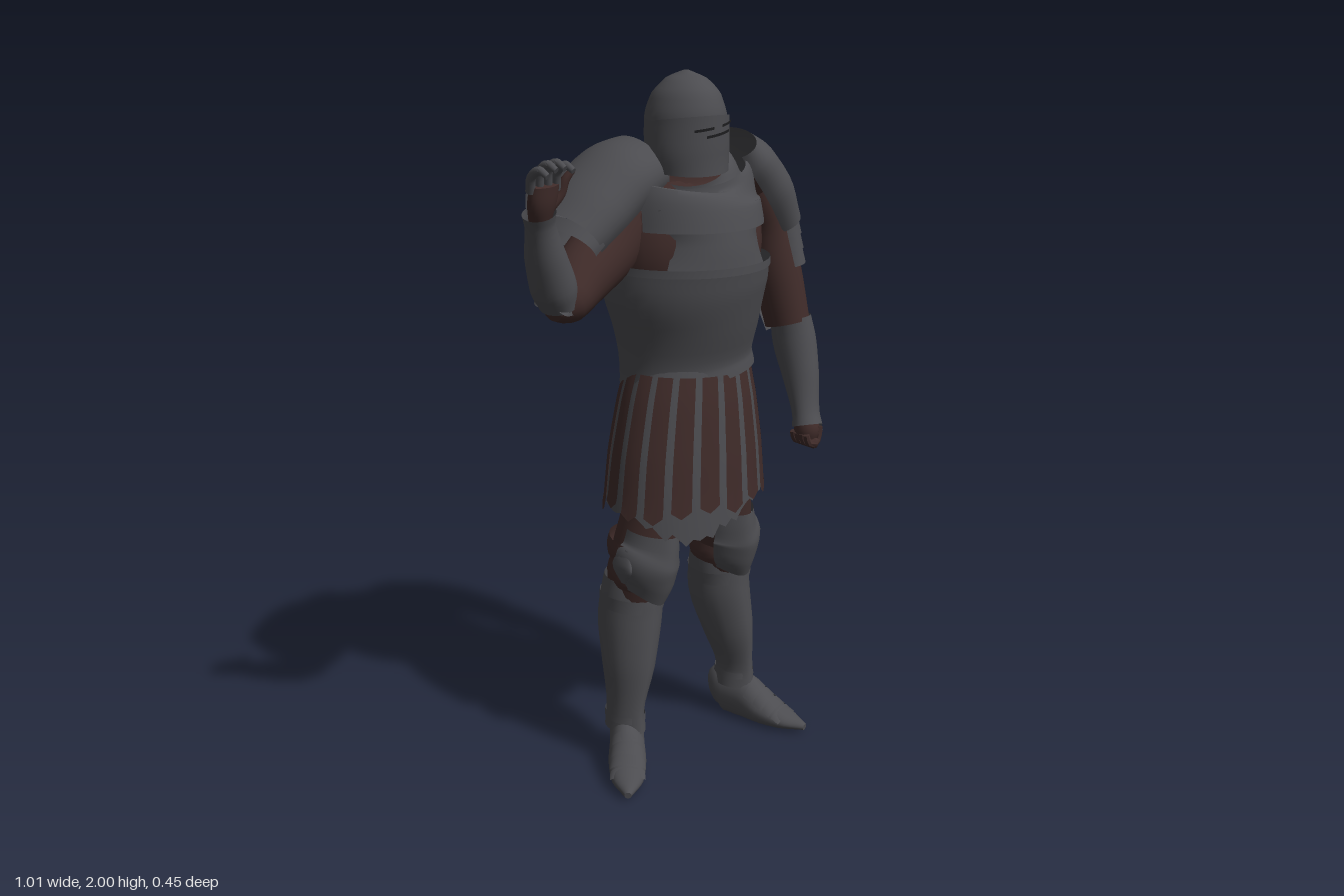
import * as THREE from 'three';
import { toCreasedNormals } from 'three/addons/utils/BufferGeometryUtils.js';

const mat = (name, color) => {
  const m = new THREE.MeshStandardMaterial({ color, side: THREE.DoubleSide });
  m.name = name;
  return m;
};
const X = new THREE.Vector3(1, 0, 0), Z = new THREE.Vector3(0, 0, 1);
const rad = THREE.MathUtils.degToRad;

// Lofts a smooth skin over sections [x, y, z, radius along ref, other radius].
// With ref X and sections going up, angle 0 is +x and 90 is the front.
function loft(sections, { ref = X, arc = [0, 360], segs = 24, sub = 4, cap = false, tweak } = {}) {
  const centres = new THREE.CatmullRomCurve3(sections.map(s => new THREE.Vector3(s[0], s[1], s[2])));
  const radii = new THREE.CatmullRomCurve3(sections.map(s => new THREE.Vector3(s[3], s[4], 0)));
  const n = (sections.length - 1) * sub, rings = [];
  for (let i = 0; i <= n; i++) rings.push([i / n, 1]);
  if (cap) { rings.unshift([0, 0]); rings.push([1, 0]); }
  const pos = [], idx = [], w = segs + 1;
  rings.forEach(([t, k], i) => {
    const c = centres.getPoint(t), r = radii.getPoint(t), d = centres.getTangent(t);
    const u = ref.clone().addScaledVector(d, -ref.dot(d)).normalize();
    const v = u.clone().cross(d);
    for (let j = 0; j <= segs; j++) {
      const a = rad(arc[0] + (arc[1] - arc[0]) * j / segs);
      const p = c.clone().addScaledVector(u, Math.cos(a) * r.x * k).addScaledVector(v, Math.sin(a) * r.y * k);
      if (tweak) tweak(p, t, a);
      pos.push(p.x, p.y, p.z);
      if (i && j) {
        const b = i * w + j, q = b - w;
        idx.push(q - 1, b - 1, q, q, b - 1, b);
      }
    }
  });
  const g = new THREE.BufferGeometry();
  g.setAttribute('position', new THREE.Float32BufferAttribute(pos, 3));
  g.setIndex(idx);
  g.scale(100, 100, 100);
  return toCreasedNormals(g, 0.75).scale(0.01, 0.01, 0.01);
}

export function createModel() {
  const model = new THREE.Group();
  const steel = mat('steel', 0x4c4c50), leather = mat('leather', 0x3f2b29), dark = mat('slit', 0x1c1c1e);
  const add = (name, material, sections, opts) => {
    const m = new THREE.Mesh(loft(sections, opts), material);
    m.name = name;
    model.add(m);
    return m;
  };
  // The chest is turned a little, its right shoulder back
  const twist = p => { p.z += 0.11 * (p.x - 0.12); };

  // Helmet, visor and eye slits
  add('helmet', steel, [
    [0.085, 1.745, 0.025, 0.103, 0.108], [0.083, 1.81, 0.018, 0.108, 0.115], [0.085, 1.88, 0.016, 0.105, 0.118],
    [0.088, 1.94, 0.014, 0.086, 0.1], [0.09, 1.98, 0.012, 0.05, 0.06], [0.09, 2.0, 0.012, 0.006, 0.008]],
  { cap: true, segs: 32 });
  add('visor', steel, [
    [0.085, 1.745, 0.03, 0.108, 0.108], [0.083, 1.8, 0.022, 0.114, 0.118], [0.085, 1.875, 0.018, 0.109, 0.123]],
  { arc: [-12, 192], tweak: (p, t, a) => { p.y -= 0.025 * (1 - t) * Math.max(0, Math.sin(a)); p.y += 0.012 * t * Math.sin(a); } });
  for (const [lo, arc] of [[1.86, [50, 83]], [1.86, [97, 125]], [1.84, [65, 108]]])
    add('eyeSlit', dark, [[0.085, lo, 0.021, 0.112, 0.125], [0.085, lo + 0.007, 0.021, 0.112, 0.125]],
      { arc, segs: 8, sub: 1, tweak: p => { p.y += 0.14 * (p.x - 0.085); } });

  // Mail under the armour
  add('neck', leather, [[0.1, 1.62, -0.03, 0.17, 0.14], [0.105, 1.71, -0.03, 0.15, 0.125], [0.1, 1.775, -0.015, 0.1, 0.095]]);
  add('mailShirt', leather, [
    [0.1, 1.42, 0, 0.2, 0.15], [0.1, 1.52, 0, 0.225, 0.165], [0.1, 1.62, -0.015, 0.23, 0.15], [0.1, 1.7, -0.03, 0.18, 0.11]],
  { cap: true, tweak: twist });

  // Cuirass: lower plate, narrow chest plate, bib and back plate
  add('lowerCuirass', steel, [
    [0.12, 1.165, -0.01, 0.2, 0.148], [0.115, 1.21, -0.01, 0.195, 0.145], [0.108, 1.33, -0.002, 0.21, 0.175],
    [0.098, 1.43, 0.004, 0.228, 0.2], [0.097, 1.495, 0.006, 0.226, 0.21]], { segs: 36, tweak: twist });
  add('lowerCuirassRim', steel, [[0.097, 1.478, 0.006, 0.23, 0.212], [0.097, 1.5, 0.006, 0.229, 0.212]], { segs: 36, sub: 1, tweak: twist });
  add('chestPlate', steel, [
    [0.1, 1.47, 0.005, 0.21, 0.198], [0.1, 1.53, 0.004, 0.205, 0.194], [0.1, 1.6, 0, 0.215, 0.185], [0.1, 1.64, -0.005, 0.215, 0.18]],
  { arc: [38, 142], tweak: (p, t, a) => { twist(p); p.x += 0.035 * Math.cos(a) * (2 * Math.abs(t - 0.5) - 1); } });
  add('bib', steel, [
    [0.1, 1.595, 0, 0.21, 0.2], [0.1, 1.67, -0.005, 0.205, 0.185], [0.105, 1.72, -0.005, 0.19, 0.155], [0.1, 1.75, 0, 0.165, 0.14]],
  { arc: [22, 158], tweak: (p, t, a) => { twist(p); p.y -= 0.015 * Math.sin(a); } });
  add('gorget', steel, [[0.105, 1.7, 0.0, 0.175, 0.15], [0.1, 1.735, 0.01, 0.14, 0.125], [0.09, 1.76, 0.02, 0.105, 0.108]],
    { arc: [0, 180] });
  add('backPlate', steel, [
    [0.1, 1.48, 0.003, 0.228, 0.21], [0.1, 1.58, -0.015, 0.22, 0.2], [0.1, 1.68, -0.025, 0.215, 0.19],
    [0.105, 1.74, -0.03, 0.2, 0.17], [0.105, 1.785, -0.035, 0.175, 0.14]], { arc: [186, 356], tweak: twist });
  for (const a of [[-15, 27], [153, 195]])
    add('shoulderStrap', steel, [[0.1, 1.63, -0.015, 0.215, 0.18], [0.105, 1.7, -0.02, 0.205, 0.165], [0.105, 1.76, -0.02, 0.175, 0.145]],
      { arc: a, segs: 8, tweak: twist });

  // Skirt: ragged grey cloth below leather straps
  const rag = k => Math.abs((Math.sin(k * 12.9898) * 43758.5453) % 1);
  add('clothSkirt', steel, [
    [0.112, 0.81, -0.01, 0.255, 0.176], [0.115, 0.95, -0.01, 0.24, 0.168], [0.12, 1.1, -0.01, 0.212, 0.153], [0.122, 1.205, -0.01, 0.185, 0.138]],
  { segs: 72, tweak: (p, t, a) => {
    if (t > 0.05) return;
    const low = Math.max(0, Math.cos(a - rad(112))) ** 5 + Math.max(0, Math.cos(a - rad(265))) ** 5;
    p.y -= (0.015 + 0.085 * low) * (0.4 + 0.8 * rag(Math.round(a * 72 / 6.2832) % 72));
  } });
  const straps = 18;
  for (let k = 0; k < straps; k++) {
    const a = k * 360 / straps + 4, end = 0.775 + 0.035 * rag(k + 3);
    add('skirtStrap', leather, [
      [0.112, end, -0.01, 0.266, 0.187], [0.115, 0.95, -0.01, 0.249, 0.177], [0.12, 1.1, -0.01, 0.221, 0.162],
      [0.125, 1.18, -0.01, 0.2, 0.148]],
    { arc: [a - 7.1, a + 7.1], segs: 4, tweak: (p, t, b) => {
      if (t < 0.01) p.y += 0.02 * Math.abs(b - rad(a)) / rad(7.1);
    } });
  }

  // Legs: hip, knee, calf and ankle x of each side
  for (const [side, hip, mid, knee, calf, shin, ankle, turn, s, guardArc] of [
    ['right', 0.03, 0.0, -0.052, -0.06, -0.078, -0.1, -0.68, -1, [22, 195]],
    ['left', 0.21, 0.235, 0.265, 0.294, 0.32, 0.34, 0.27, 1, [-15, 158]]]) {
    add(side + 'Thigh', leather, [
      [calf, 0.5, -0.045, 0.075, 0.08], [knee, 0.64, -0.015, 0.078, 0.095], [mid, 0.8, 0, 0.092, 0.104], [hip, 1.1, -0.01, 0.1, 0.12]]);
    for (const y of [0.565, 0.645])
      add(side + 'KneeStrap', leather, [[knee, y, -0.025, 0.084, 0.092], [knee, y + 0.025, -0.022, 0.088, 0.098], [knee, y + 0.055, -0.018, 0.083, 0.094]], { sub: 2 });
    add(side + 'KneeGuard', steel, [
      [knee + s * 0.008, 0.545, 0.0, 0.07, 0.075], [knee + s * 0.002, 0.59, 0.005, 0.088, 0.09], [knee, 0.645, 0.01, 0.096, 0.1],
      [knee - s * 0.008, 0.685, 0.015, 0.082, 0.092], [knee - s * 0.012, 0.735, 0.018, 0.072, 0.086]],
    { arc: guardArc, tweak: (p, t, a) => {
      p.y -= 0.03 * (1 - t) * (Math.max(0, Math.sin(a)) ** 3 - 0.5);
      p.z += 0.01 * Math.max(0, Math.sin(a)) ** 8;
    } });
    add(side + 'KneeWing', steel, [
      [knee + s * 0.086, 0.59, 0.015, 0.004, 0.012], [knee + s * 0.092, 0.64, 0.015, 0.01, 0.042], [knee + s * 0.08, 0.69, 0.022, 0.004, 0.012]], { cap: true });
    add(side + 'Greave', steel, [
      [ankle, 0.11, -0.03, 0.054, 0.068], [ankle, 0.17, -0.03, 0.048, 0.064], [shin, 0.3, -0.04, 0.074, 0.083],
      [calf, 0.44, -0.055, 0.092, 0.096], [calf - s * 0.006, 0.52, -0.05, 0.093, 0.09], [calf - s * 0.01, 0.575, -0.045, 0.09, 0.084]],
    { tweak: (p, t, a) => { p.z += 0.01 * Math.max(0, Math.sin(a)) ** 8; } });
    add(side + 'GreaveRim', steel, [
      [calf - s * 0.003, 0.485, -0.05, 0.094, 0.095], [calf - s * 0.006, 0.525, -0.048, 0.098, 0.094]], { sub: 1 });
    add(side + 'AnkleRim', steel, [[ankle, 0.14, -0.03, 0.054, 0.069], [ankle, 0.16, -0.03, 0.052, 0.068]], { sub: 1 });

    // Pointed plated shoe, flat underneath
    const foot = new THREE.Group();
    foot.name = side + 'Foot';
    foot.add(add(side + 'Shoe', steel, [
      [0, 0.06, -0.072, 0.03, 0.05], [0, 0.075, -0.04, 0.05, 0.078], [0, 0.07, 0.03, 0.051, 0.075], [0, 0.045, 0.1, 0.055, 0.05],
      [0, 0.03, 0.18, 0.046, 0.028], [0, 0.022, 0.25, 0.01, 0.01]], { cap: true, tweak: p => { p.y = Math.max(p.y, 0.004); } }));
    for (let i = 0; i < 4; i++) {
      const z = 0.05 + i * 0.035, h = 0.068 - i * 0.011;
      foot.add(add('shoeLame', steel, [[0, h, z, 0.053, h - 0.002], [0, h - 0.009, z + 0.028, 0.055, h - 0.013]],
        { arc: [200, 340], segs: 14, sub: 1 }));
    }
    foot.position.set(ankle, 0, -0.022);
    foot.rotation.y = turn;
    model.add(foot);
  }

  // Left arm, hanging
  add('leftUpperArm', leather, [
    [0.33, 1.66, -0.01, 0.1, 0.075], [0.395, 1.55, 0.005, 0.085, 0.07], [0.415, 1.42, 0.04, 0.076, 0.068], [0.43, 1.27, 0.075, 0.07, 0.06]],
  { ref: Z });
  add('leftPauldron', steel, [
    [0.258, 1.788, -0.015, 0.115, 0.06], [0.3, 1.74, -0.017, 0.137, 0.083], [0.365, 1.66, -0.016, 0.139, 0.088], [0.43, 1.55, -0.003, 0.112, 0.068]],
  { ref: Z, arc: [-35, 215] });
  for (let i = 0; i < 3; i++)
    add('leftLame', steel, [
      [0.425 + i * 0.003, 1.56 - i * 0.042, i * 0.007, 0.096, 0.062], [0.431 + i * 0.003, 1.515 - i * 0.042, 0.005 + i * 0.007, 0.099, 0.066]],
    { ref: Z, arc: [-35, 215], sub: 1 });
  add('leftElbowGuard', steel, [
    [0.425, 1.41, 0.012, 0.012, 0.04], [0.432, 1.34, 0.03, 0.062, 0.066], [0.438, 1.25, 0.055, 0.05, 0.056]], { ref: Z, arc: [85, 235] });
  add('leftForearm', steel, [
    [0.438, 1.285, 0.08, 0.064, 0.054], [0.443, 1.22, 0.092, 0.068, 0.058], [0.436, 1.12, 0.13, 0.056, 0.05],
    [0.42, 1.02, 0.17, 0.038, 0.042], [0.415, 0.985, 0.182, 0.043, 0.045]], { ref: Z });
  add('leftFist', leather, [
    [0.416, 1.01, 0.175, 0.03, 0.032], [0.414, 0.975, 0.182, 0.038, 0.036], [0.412, 0.945, 0.183, 0.03, 0.03]], { ref: Z, cap: true });
  for (let i = 0; i < 4; i++) {
    const z = 0.155 + i * 0.018;
    add('leftFinger', leather, [[0.436, 0.985, z, 0.01, 0.01], [0.43, 0.945, z, 0.011, 0.011], [0.395, 0.942, z, 0.011, 0.011], [0.385, 0.968, z, 0.009, 0.009]],
      { ref: Z, segs: 8, sub: 2, cap: true });
  }
  add('leftHandPlate', steel, [
    [0.424, 0.99, 0.18, 0.042, 0.034], [0.424, 0.965, 0.182, 0.042, 0.032], [0.42, 0.94, 0.182, 0.038, 0.026]], { ref: Z, arc: [30, 150], segs: 10 });

  // Right arm, raised
  add('rightUpperArm', leather, [
    [-0.03, 1.64, -0.06, 0.11, 0.095], [-0.14, 1.55, -0.045, 0.095, 0.092], [-0.25, 1.485, -0.02, 0.082, 0.083],
    [-0.33, 1.435, 0.01, 0.068, 0.062], [-0.375, 1.42, 0.02, 0.03, 0.03]],
  { ref: Z, cap: true });
  add('rightPauldron', steel, [
    [0.0, 1.745, -0.08, 0.13, 0.088], [-0.08, 1.715, -0.083, 0.142, 0.1], [-0.17, 1.655, -0.083, 0.143, 0.1], [-0.262, 1.585, -0.072, 0.13, 0.09]],
  { ref: Z, arc: [150, 390] });
  add('rightLame', steel, [
    [-0.245, 1.585, -0.062, 0.118, 0.08], [-0.275, 1.56, -0.058, 0.116, 0.074]], { ref: Z, arc: [145, 375], sub: 1 });
  add('rightLowerLame', steel, [
    [-0.255, 1.555, -0.05, 0.108, 0.075], [-0.29, 1.53, -0.045, 0.104, 0.07]], { ref: Z, arc: [145, 300], sub: 1 });
  add('rightElbowGuard', steel, [
    [-0.4, 1.45, 0.02, 0.03, 0.03], [-0.37, 1.418, 0.012, 0.06, 0.045], [-0.3, 1.41, 0.01, 0.035, 0.035]], { ref: Z, arc: [0, 180], segs: 12 });
  add('rightForearm', steel, [
    [-0.352, 1.43, 0.015, 0.055, 0.045], [-0.37, 1.485, 0.022, 0.064, 0.06], [-0.405, 1.57, 0.038, 0.056, 0.053],
    [-0.437, 1.66, 0.062, 0.038, 0.04], [-0.445, 1.69, 0.07, 0.041, 0.045]], { ref: Z });
  add('rightPalm', leather, [
    [-0.44, 1.67, 0.066, 0.026, 0.03], [-0.446, 1.72, 0.085, 0.026, 0.042], [-0.448, 1.765, 0.1, 0.018, 0.044]], { ref: Z, cap: true });
  add('rightHandPlate', steel, [
    [-0.442, 1.69, 0.07, 0.03, 0.036], [-0.447, 1.73, 0.084, 0.03, 0.044], [-0.449, 1.765, 0.096, 0.024, 0.046]], { ref: Z, arc: [115, 245], segs: 10 });
  for (let i = 0; i < 4; i++) {
    const x = -0.49 + i * 0.026, h = [0, 0.012, 0.014, 0.006][i];
    add('rightFinger', steel, [
      [x + 0.004, 1.75, 0.092, 0.012, 0.013], [x - 0.004, 1.79 + h, 0.11, 0.012, 0.012], [x - 0.001, 1.808 + h, 0.138, 0.011, 0.011], [x + 0.006, 1.795 + h, 0.162, 0.008, 0.008]],
    { segs: 10, cap: true });
  }
  add('rightThumb', leather, [
    [-0.425, 1.7, 0.08, 0.016, 0.016], [-0.395, 1.735, 0.09, 0.015, 0.015], [-0.385, 1.77, 0.1, 0.012, 0.012], [-0.368, 1.795, 0.11, 0.008, 0.008]],
  { ref: Z, segs: 10, cap: true });

  return model;
}
